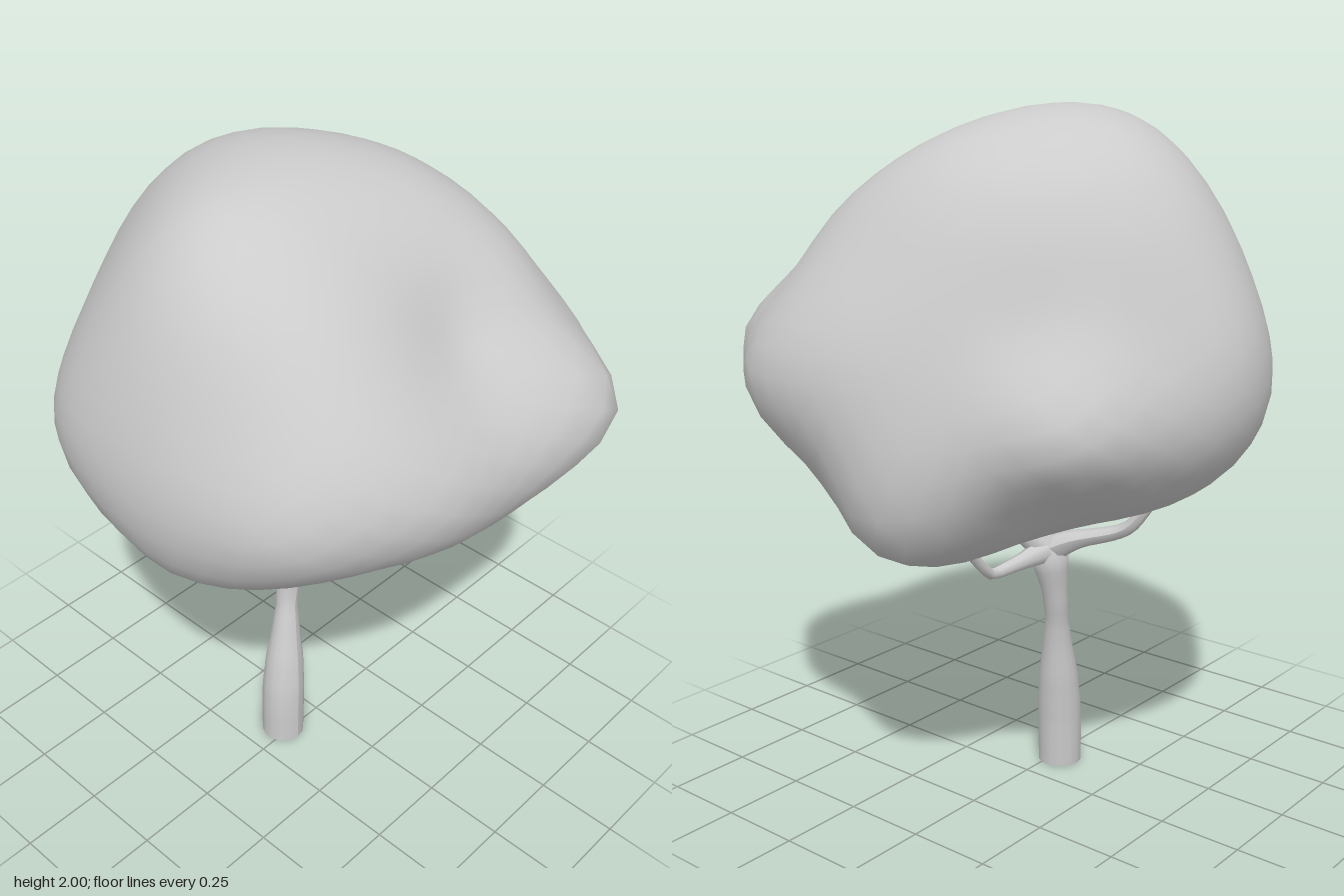
import * as THREE from 'three';
import { mergeVertices } from 'three/addons/utils/BufferGeometryUtils.js';

const V = (x, y, z) => new THREE.Vector3(x, y, z);

// Knobs that the skin of the foliage passes through
const crownKnobs = [
  // top
  [-0.15, 2.0, -0.1], [-0.36, 1.96, -0.03], [0.17, 1.96, -0.1], [-0.12, 1.89, 0.24], [0, 1.92, -0.37],
  [-0.5, 1.85, 0.06], [0.39, 1.83, -0.08], [-0.33, 1.75, 0.37], [0.31, 1.7, 0.42], [0.06, 1.62, 0.45],
  [0.55, 1.62, 0.05], [-0.36, 1.78, -0.35], [0.3, 1.76, -0.34], [-0.03, 1.76, -0.53],
  // front ridge
  [-0.59, 1.3, 0.46], [-0.46, 1.36, 0.57], [-0.22, 1.34, 0.67], [0.03, 1.34, 0.68], [0.42, 1.38, 0.7],
  [0.57, 1.3, 0.56], [0.68, 1.28, 0.41], [0.46, 1.52, 0.5], [-0.17, 1.49, 0.6],
  // sides
  [0.69, 1.3, 0.08], [0.65, 1.06, 0.17], [0.59, 1.28, -0.2], [0.43, 1.44, -0.37],
  [-0.7, 1.18, 0.05], [-0.68, 1.49, -0.05], [-0.64, 1.35, -0.35], [-0.59, 1.55, 0.28],
  // back
  [0, 1.4, -0.7], [-0.1, 1.16, -0.69], [0.41, 1.22, -0.56], [0.49, 1.2, -0.49], [0.22, 1.42, -0.58],
  [-0.38, 1.5, -0.51], [-0.42, 1.1, -0.47],
  // underside
  [0.4, 0.79, -0.04], [0.64, 0.89, 0], [0.3, 1.02, 0.44], [-0.3, 1.06, 0.43], [0, 0.89, 0],
  [-0.57, 1.0, 0.08], [-0.28, 0.94, 0], [-0.05, 0.93, -0.46], [0.38, 1.0, -0.37],
];

function crownGeometry() {
  const centre = V(0, 1.38, 0);
  const knobs = crownKnobs.map(k => V(...k).sub(centre));
  const dirs = knobs.map(k => k.clone().normalize());
  const inverse = knobs.map(k => 1 / k.length());
  const mean = inverse.reduce((a, b) => a + b) / inverse.length;
  const kernel = (a, b) => {
    const t = a.distanceTo(b) / 0.36;
    return (1 + t) * Math.exp(-t);
  };
  // Blend weights, relaxed until the skin meets every knob
  const weights = dirs.map(() => 0);
  const blend = d => dirs.reduce((sum, e, j) => sum + weights[j] * kernel(d, e), mean);
  for (let sweep = 0; sweep < 300; sweep++) {
    dirs.forEach((d, i) => { weights[i] += inverse[i] - blend(d); });
  }
  let geometry = new THREE.IcosahedronGeometry(1, 9);
  geometry.deleteAttribute('uv');
  geometry.deleteAttribute('normal');
  geometry = mergeVertices(geometry, 1e-4);
  const pos = geometry.attributes.position;
  const p = V(0, 0, 0);
  for (let i = 0; i < pos.count; i++) {
    p.fromBufferAttribute(pos, i).normalize();
    p.divideScalar(blend(p)).add(centre);
    pos.setXYZ(i, p.x, p.y, p.z);
  }
  geometry.computeVertexNormals();
  return geometry;
}

// Open tube whose radius follows a list of values along its path
function limbGeometry(points, radii, segments, sides) {
  const curve = new THREE.CatmullRomCurve3(points.map(p => V(...p)));
  const geometry = new THREE.TubeGeometry(curve, segments, 1, sides);
  const pos = geometry.attributes.position;
  const p = V(0, 0, 0);
  for (let i = 0; i < pos.count; i++) {
    const u = Math.floor(i / (sides + 1)) / segments;
    const s = u * (radii.length - 1);
    const k = Math.min(Math.floor(s), radii.length - 2);
    const radius = THREE.MathUtils.lerp(radii[k], radii[k + 1], s - k);
    const c = curve.getPointAt(u);
    p.fromBufferAttribute(pos, i).sub(c).multiplyScalar(radius).add(c);
    pos.setXYZ(i, p.x, Math.max(p.y, 0), p.z);
  }
  geometry.computeVertexNormals();
  return geometry;
}

export function createModel() {
  const group = new THREE.Group();
  const material = new THREE.MeshStandardMaterial({ color: 0xcccccc, side: THREE.DoubleSide });
  const add = (name, geometry) => {
    const mesh = new THREE.Mesh(geometry, material);
    mesh.name = name;
    group.add(mesh);
  };

  add('foliage', crownGeometry());

  // Trunk: swollen foot, narrow neck, flared fork
  add('trunk', limbGeometry(
    [[-0.135, 0, -0.023], [-0.127, 0.18, -0.026], [-0.095, 0.4, -0.042], [-0.065, 0.56, -0.058],
      [-0.045, 0.7, -0.05], [-0.035, 0.79, -0.04]],
    [0.067, 0.068, 0.067, 0.06, 0.046, 0.035, 0.04, 0.057, 0.028], 24, 14));

  // Branches reaching into the foliage
  add('rightBranch', limbGeometry(
    [[-0.05, 0.7, -0.05], [-0.085, 0.8, -0.03], [-0.14, 0.9, 0.01], [-0.19, 1.02, 0.04]],
    [0.045, 0.034, 0.03, 0.025], 10, 8));
  add('leftBranch', limbGeometry(
    [[-0.04, 0.71, -0.05], [0.03, 0.785, 0], [0.16, 0.89, 0.08], [0.26, 0.97, 0.13]],
    [0.045, 0.032, 0.026, 0.022], 10, 8));
  add('lowBranch', limbGeometry(
    [[-0.04, 0.72, -0.05], [0.03, 0.71, -0.04], [0.11, 0.7, -0.03], [0.185, 0.695, -0.02],
      [0.21, 0.712, -0.02], [0.28, 0.785, -0.02], [0.35, 0.86, -0.03]],
    [0.042, 0.024, 0.016, 0.016, 0.014], 18, 8));
  add('backBranch', limbGeometry(
    [[-0.045, 0.72, -0.05], [-0.06, 0.755, -0.12], [-0.1, 0.8, -0.26], [-0.105, 0.825, -0.3],
      [-0.115, 0.89, -0.35], [-0.13, 0.98, -0.41]],
    [0.045, 0.026, 0.021, 0.018, 0.014], 18, 8));
  return group;
}
